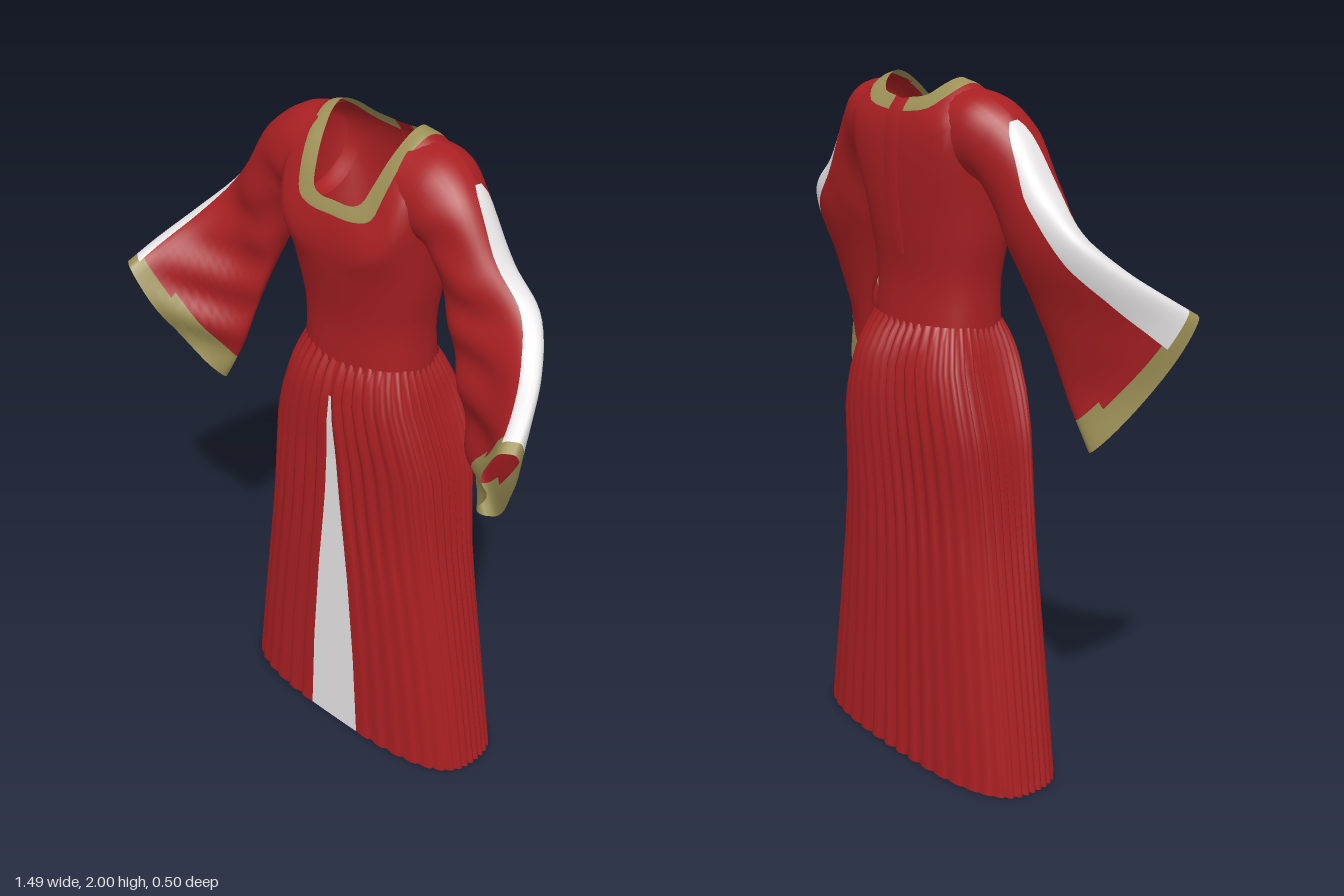
import * as THREE from 'three';

const mat = (name, color) => {
  const m = new THREE.MeshStandardMaterial({ color, side: THREE.DoubleSide });
  m.name = name;
  return m;
};
const V = (x, y, z) => new THREE.Vector3(x, y, z);
const lerp = THREE.MathUtils.lerp;

// Smooth sheet through rows of points; pick(i, j) gives the material index of a cell
function sheet(name, rows, closed, mats, pick) {
  const n = rows[0].length, cols = closed ? n : n - 1;
  const lists = mats.map(() => []);
  for (let i = 0; i < rows.length - 1; i++) {
    for (let j = 0; j < cols; j++) {
      const k = (j + 1) % n;
      const a = i * n + j, b = i * n + k, c = (i + 1) * n + j, d = (i + 1) * n + k;
      lists[pick(i, j)].push(a, c, b, b, c, d);
    }
  }
  const g = new THREE.BufferGeometry().setFromPoints(rows.flat());
  g.setIndex(lists.flat());
  let start = 0;
  lists.forEach((l, m) => {
    if (l.length) g.addGroup(start, l.length, m);
    start += l.length;
  });
  g.computeVertexNormals();
  const mesh = new THREE.Mesh(g, mats);
  mesh.name = name;
  return mesh;
}

// Rounded-square cross-section point; angle 0 is the front, PI the back
function sectionPoint(phi, y, a, zf, zb, n) {
  const s = Math.sin(phi), c = Math.cos(phi);
  const r = (Math.abs(s) ** n + Math.abs(c) ** n) ** (-1 / n);
  return V(a * r * s, y, (zf + zb) / 2 + (zf - zb) / 2 * r * c);
}

// Value of a table [key, ...values], keys descending
function sample(table, key) {
  let i = 0;
  while (i < table.length - 2 && key < table[i + 1][0]) i++;
  const p = table[i], q = table[i + 1];
  const t = THREE.MathUtils.clamp((key - p[0]) / (q[0] - p[0]), 0, 1);
  return p.map((v, k) => lerp(v, q[k], t));
}

// Half outlines from front centre to back centre
const NECK = [[0, 1.806, .083], [.055, 1.806, .082], [.086, 1.82, .073], [.103, 1.865, .048],
  [.12, 1.93, .005], [.135, 1.985, -.05], [.138, 2.0, -.09], [.125, 1.985, -.13],
  [.09, 1.955, -.165], [.03, 1.945, -.176], [0, 1.94, -.178]];
const BAND = [[0, 1.772, .1], [.08, 1.773, .097], [.13, 1.79, .085], [.15, 1.85, .06],
  [.164, 1.925, .015], [.176, 1.975, -.045], [.178, 1.987, -.09], [.168, 1.962, -.15],
  [.125, 1.925, -.19], [.03, 1.91, -.2], [0, 1.908, -.201]];
const CHEST = [[0, 1.69, .115], [.11, 1.69, .115], [.18, 1.72, .10], [.213, 1.80, .07],
  [.228, 1.87, .025], [.232, 1.92, -.04], [.235, 1.935, -.09], [.23, 1.91, -.15],
  [.198, 1.87, -.2], [.1, 1.83, -.218], [0, 1.83, -.217]];
const half = (y, a, zf, zb) => Array.from({ length: 11 }, (_, k) =>
  sectionPoint(k * Math.PI / 10, y, a, zf, zb, 2.4).toArray());

function bodice(red, gold) {
  const sub = 3, rings = [NECK, BAND, CHEST, half(1.6, .228, .105, -.207),
    half(1.45, .204, .078, -.187), half(1.31, .205, .08, -.195)].map(h => {
    const pts = h.map(p => V(...p));
    const mirrored = h.slice(1, -1).reverse().map(p => V(-p[0], p[1], p[2]));
    const curve = new THREE.CatmullRomCurve3([...pts, ...mirrored], true);
    return Array.from({ length: 20 * sub }, (_, k) => curve.getPoint(k / (20 * sub)));
  });
  const steps = (rings.length - 1) * 4, rows = [];
  const columns = rings[0].map((_, j) => new THREE.CatmullRomCurve3(rings.map(r => r[j])));
  for (let i = 0; i <= steps; i++) rows.push(columns.map(c => c.getPoint(i / steps)));
  // Neck trim stops either side of the back opening
  const body = sheet('bodice', rows, true, [red, gold],
    (i, j) => (i < 4 && !(j >= 27 && j < 33) ? 1 : 0));
  // Raised closing strip down the centre back
  const strip = rows.slice(0, 15).map(r => [.026, .024, -.024, -.026].map((x, k) =>
    V(x, r[30].y, r[30].z - (k % 3 ? .006 : -.002))));
  return [body, sheet('backPlacket', strip, false, [red], () => 0)];
}

// y, half width, front z, back z, pleat depth, half width of front panel
const SKIRT = [
  [1.335, .198, .072, -.19, .003, .004],
  [1.28, .222, .098, -.218, .010, .004],
  [1.22, .243, .110, -.239, .013, .004],
  [1.13, .278, .114, -.248, .014, .011],
  [1.03, .31, .108, -.244, .013, .018],
  [.87, .328, .106, -.23, .011, .03],
  [.75, .342, .106, -.224, .007, .043],
  [.6, .365, .107, -.224, .004, .06],
  [.3, .41, .109, -.228, .004, .085],
  [0, .453, .11, -.234, .005, .1]];

function skirt(red, white) {
  const panel = 6, side = 88, total = 2 * (panel + side), levels = 33, rows = [];
  for (let i = 0; i <= levels; i++) {
    const yy = i < 3 ? 1.335 - i * .03833 : 1.22 * (1 - (i - 3) / (levels - 3));
    const [y, a, zf, zb, depth, w] = sample(SKIRT, yy);
    const edge = Math.atan(w / a), row = [];
    for (let j = 0; j < total; j++) {
      const k = j <= total / 2 ? j : j - total, m = Math.abs(k);
      const phi = m <= panel ? edge * m / panel : edge + (Math.PI - edge) * (m - panel) / side;
      const fold = Math.floor((m - panel) / 4);
      const size = .7 + .5 * Math.abs(Math.sin(fold * 12.9 + 1));
      // Pleats are narrow grooves between rounded ridges
      const groove = m <= panel ? 0 : [-1.3, .35, .8, .45][(m - panel) % 4];
      const p = sectionPoint(phi * Math.sign(k), y, a, zf, zb, 2.9);
      const out = V(p.x, 0, p.z - (zf + zb) / 2).normalize();
      row.push(p.addScaledVector(out, groove * depth * size));
    }
    rows.push(row);
  }
  return sheet('pleatedSkirt', rows, true, [red, white],
    (i, j) => (i >= 3 && (j < panel || j >= total - panel) ? 1 : 0));
}

// Upper ridge, lower hanging edge, and [half thickness, turn, forward bulge] of each section
const TOP = [[.16, 1.98, -.085], [.262, 1.962, -.08], [.36, 1.892, -.06], [.466, 1.738, -.05],
  [.56, 1.642, -.045], [.64, 1.548, .04], [.695, 1.475, .14], [.725, 1.42, .225]];
const LOW = [[.18, 1.72, -.06], [.24, 1.725, -.05], [.275, 1.67, -.05], [.32, 1.55, -.04],
  [.37, 1.42, -.02], [.42, 1.29, 0], [.465, 1.16, .02], [.53, 1.035, .035]];
const FORM = [[.12, 0, 0], [.115, 0, 0], [.095, 0, 0], [.081, .1, 0],
  [.068, .5, 0], [.06, .85, 0], [.052, .95, .01], [.048, .98, .025]];
// Along the sleeve: angles where the white stripe begins and ends
const STRIPE = [[1, -.3, 1.1], [.6, -.25, 1.15], [.4, -.2, .95], [.3, -.05, .6], [.24, .1, .13]];

function sleeve(name, sign, red, white, gold) {
  const [top, low, form] = [TOP, LOW, FORM].map(t =>
    new THREE.CatmullRomCurve3(t.map(p => V(...p))));
  const n = 40, band = 10, steps = 42, rows = [];
  for (let i = 0; i <= steps; i++) {
    const t = i / steps, T = top.getPoint(t), B = low.getPoint(t), f = form.getPoint(t);
    const mid = T.clone().add(B).multiplyScalar(.5), up = T.clone().sub(mid);
    const outward = V(Math.sin(f.y), 0, -Math.cos(f.y));
    const forward = V(Math.cos(f.y), 0, Math.sin(f.y));
    const [, from, to] = sample(STRIPE, t);
    const row = [];
    for (let j = 0; j < n; j++) {
      const th = j <= band ? lerp(from, to, j / band)
        : lerp(to, from + Math.PI * 2, (j - band) / (n - band));
      const s = Math.sin(th), v = (1 - Math.cos(th)) / 2;
      let w = f.x * Math.sign(s) * Math.abs(s) ** lerp(1, .55, t) * (1 - .3 * v * t);
      // Draped folds on the inner, hanging side
      if (s < 0) w += .018 * t * -s * Math.sin(t * 34 + v * 9) * Math.min(1, v * 2);
      else w += .005 * t * s * v * Math.sin(t * 20 + v * 7);
      const p = mid.clone().addScaledVector(up, Math.cos(th))
        .addScaledVector(outward, w).addScaledVector(forward, f.z * s * s);
      p.x *= sign;
      row.push(p);
    }
    rows.push(sign > 0 ? row.reverse() : row);
  }
  return sheet(name, rows, true, [red, white, gold], (i, j) => {
    const k = sign > 0 ? (2 * n - 2 - j) % n : j;
    // Cuff is narrow at the wrist and deeper where it hangs
    const cuff = k < band ? 2 : 3 + (k > band + 6 && k < n - 6 ? 1 : 0);
    if (i >= steps - cuff) return 2;
    return k < band && i >= steps * .24 ? 1 : 0;
  });
}

export function createModel() {
  const red = mat('red cloth', 0xa81f22);
  const white = mat('white cloth', 0xe8e6e6);
  const gold = mat('gold trim', 0x9c9056);
  const g = new THREE.Group();
  g.name = 'gown';
  g.add(...bodice(red, gold), skirt(red, white),
    sleeve('leftSleeve', 1, red, white, gold),
    sleeve('rightSleeve', -1, red, white, gold));
  return g;
}
